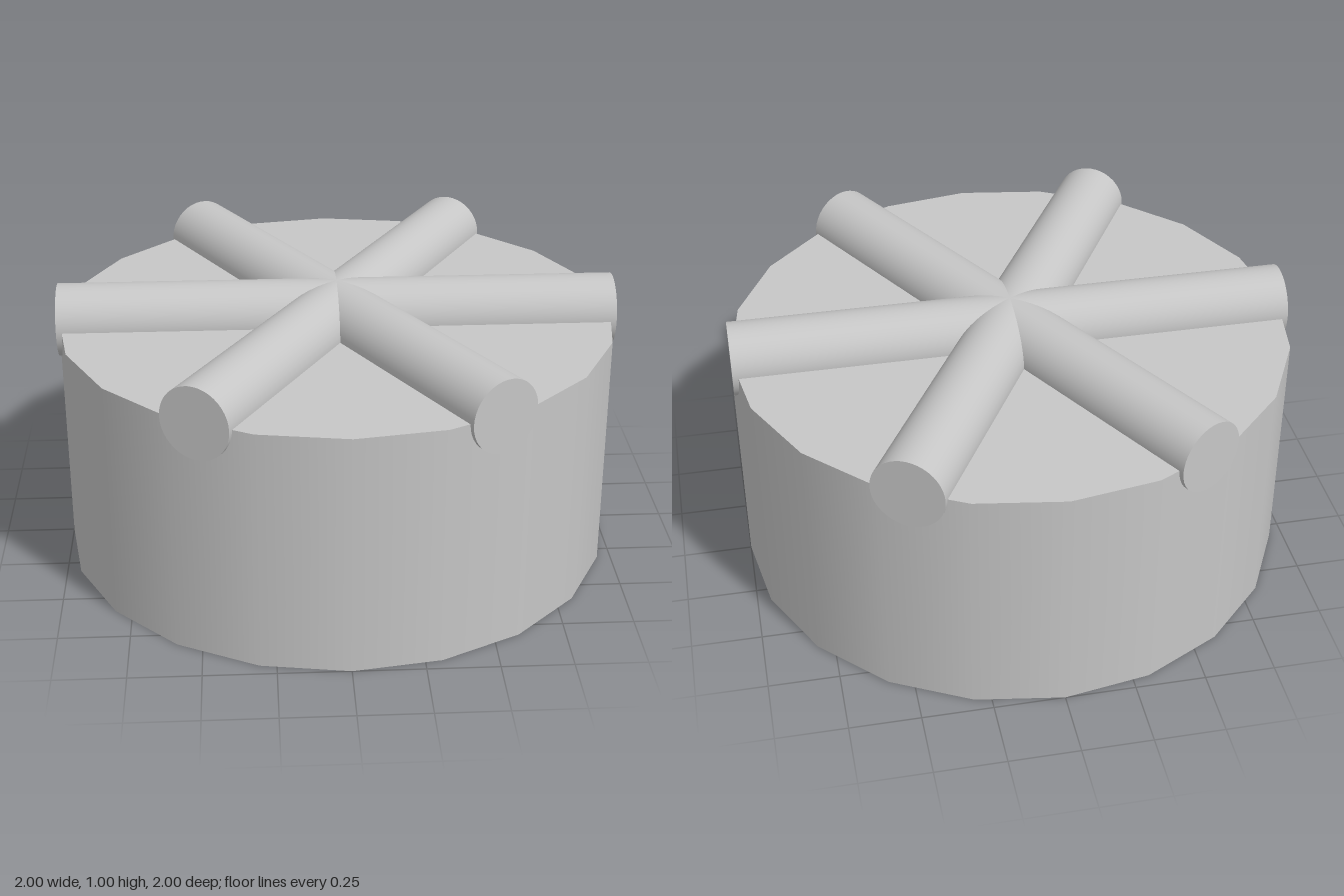
import * as THREE from 'three';
import { toCreasedNormals } from 'three/addons/utils/BufferGeometryUtils.js';

const HEIGHT = 0.87, BORE = 0.4, GROOVE = 0.53;
const LEDGE_Y = 0.26, CEILING_Y = 0.395, BORE_TOP = 0.53;

// Points on a circle between two angles in degrees, seen from above
function arc(r, from, to, n) {
  return Array.from({ length: n + 1 }, (_, i) => {
    const a = THREE.MathUtils.degToRad(from + (to - from) * i / n);
    return new THREE.Vector2(r * Math.cos(a), r * Math.sin(a));
  });
}

// Inward-facing wall along a closed outline
function innerWall(points, y0, y1) {
  const pos = [];
  points.forEach((a, i) => {
    const b = points[(i + 1) % points.length];
    if (a.distanceTo(b) < 1e-5) return;
    for (const [p, y] of [[b, y0], [a, y0], [a, y1], [b, y0], [a, y1], [b, y1]]) pos.push(p.x, y, -p.y);
  });
  const g = new THREE.BufferGeometry();
  g.setAttribute('position', new THREE.Float32BufferAttribute(pos, 3));
  return toCreasedNormals(g, 0.5);
}

// Horizontal face, looking up or down
function flat(points, y, up, hole) {
  const shape = new THREE.Shape(points);
  if (hole) shape.holes.push(new THREE.Path(hole));
  const g = new THREE.ShapeGeometry(shape).rotateX(-Math.PI / 2).translate(0, y, 0);
  if (!up) {
    const idx = g.index.array;
    for (let i = 0; i < idx.length; i += 3) [idx[i], idx[i + 1]] = [idx[i + 1], idx[i]];
    g.computeVertexNormals();
  }
  return g;
}

export function createModel() {
  const group = new THREE.Group();
  const grey = new THREE.MeshStandardMaterial({ color: 0xc6c6c6 });
  grey.name = 'light grey';
  const add = (name, geometry) => {
    const mesh = new THREE.Mesh(geometry, grey);
    mesh.name = name;
    group.add(mesh);
    return mesh;
  };

  // Outlines of the socket; each half turn repeats
  const bore = [], mouth = [], groove = [];
  for (const t of [0, 180]) {
    const side = [
      ...arc(BORE, 133 + t, 195.5 + t, 6),
      ...arc(BORE, 195.5 + t, 224.5 + t, 3).slice(1),
      ...arc(BORE, 224.5 + t, 287 + t, 6).slice(1),
    ];
    bore.push(...side, ...arc(BORE, 287 + t, 313 + t, 3).slice(1, -1));
    mouth.push(...side, ...arc(GROOVE, 290.2 + t, 309.8 + t, 1));
    groove.push(
      ...arc(GROOVE, 129.8 + t, 191 + t, 6),
      ...arc(BORE, 195.5 + t, 224.5 + t, 3),
      ...arc(GROOVE, 229 + t, 290.2 + t, 6),
    );
  }

  // Twenty-sided drum
  add('drumWall', new THREE.CylinderGeometry(1, 1, HEIGHT, 20, 1, true).translate(0, HEIGHT / 2, 0));
  const rim = arc(1, 0, 342, 19);
  add('drumTop', flat(rim, HEIGHT, true));
  add('drumBottom', flat(rim, 0, false, mouth));

  // Socket with two entry slots and a locking groove
  add('socketMouth', innerWall(mouth, 0, LEDGE_Y));
  add('lockingGroove', innerWall(groove, LEDGE_Y, CEILING_Y));
  add('upperBore', innerWall(bore, CEILING_Y, BORE_TOP));
  add('boreCeiling', flat(bore, BORE_TOP, false));
  for (const t of [0, 180]) {
    add('grooveLedge', flat([...arc(GROOVE, 129.8 + t, 191 + t, 6), ...arc(BORE, 195.5 + t, 133 + t, 6)], LEDGE_Y, true));
    add('grooveLedge', flat([...arc(GROOVE, 229 + t, 290.2 + t, 6), ...arc(BORE, 287 + t, 224.5 + t, 6)], LEDGE_Y, true));
    add('grooveCeiling', flat([
      ...arc(GROOVE, 229 + t, 290.2 + t, 6), ...arc(GROOVE, 309.8 + t, 371 + t, 6),
      ...arc(BORE, 375.5 + t, 313 + t, 6), ...arc(BORE, 313 + t, 287 + t, 3).slice(1),
      ...arc(BORE, 287 + t, 224.5 + t, 6).slice(1),
    ], CEILING_Y, false));
  }

  // Three crossed grip bars half sunk in the top
  const bar = new THREE.CylinderGeometry(0.13, 0.13, 2, 40).rotateZ(Math.PI / 2);
  for (let i = 0; i < 3; i++) {
    const mesh = add('gripBar', bar);
    mesh.position.y = HEIGHT;
    mesh.rotation.y = i * Math.PI / 3;
  }
  return group;
}
